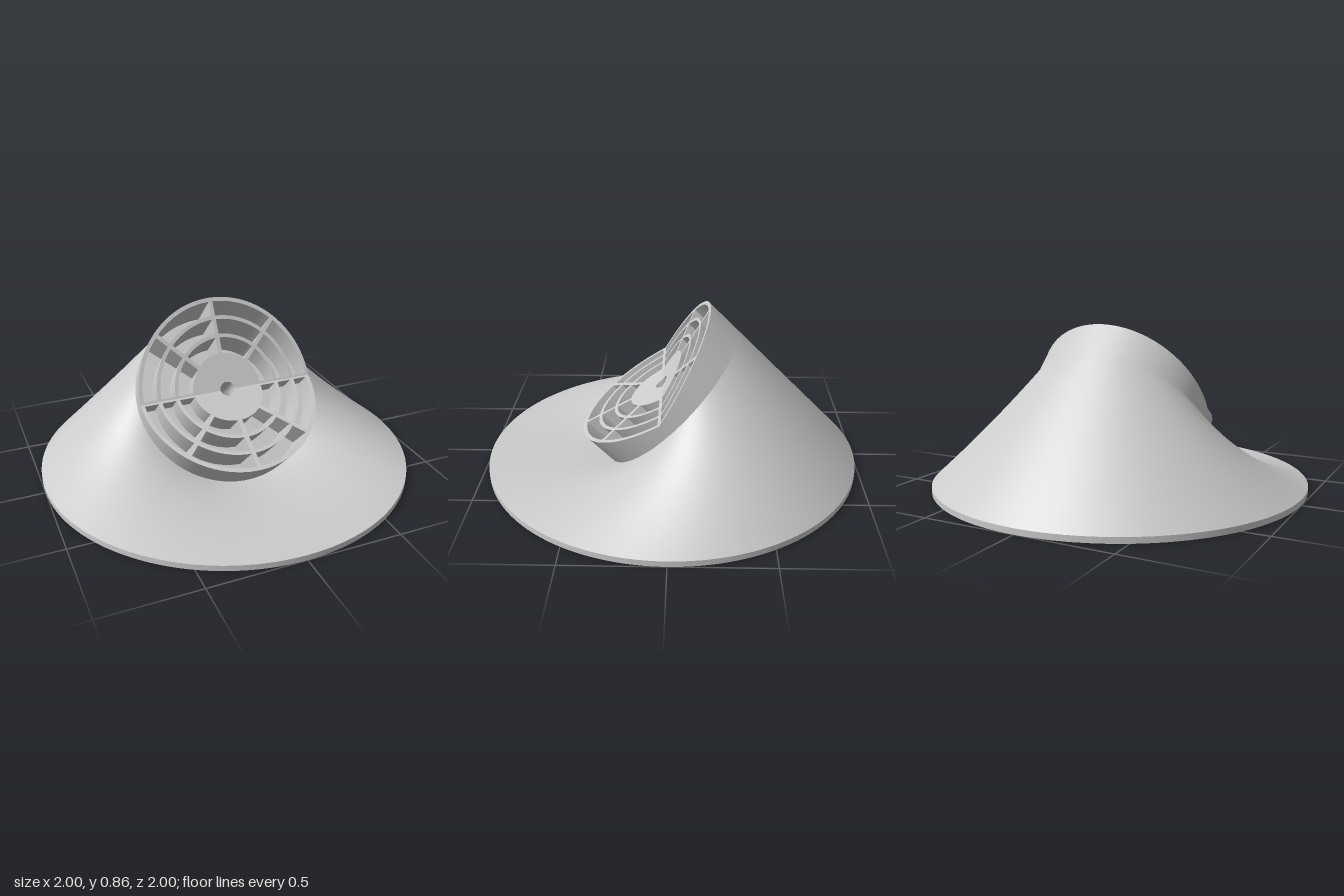
import * as THREE from 'three';
import { toCreasedNormals } from 'three/addons/utils/BufferGeometryUtils.js';
import { ParametricGeometry } from 'three/addons/geometries/ParametricGeometry.js';

const R = 0.483;                         // outer radius of the tilted head
const DEPTH = 0.1;                       // depth of the slots below the fold
const FOLD = Math.tan(Math.PI / 12);     // each half of the face rises by 15 degrees
const TILT = Math.PI / 4;
const CENTRE = new THREE.Vector3(0, 0.43, 0.05);
const BASE_Y = 0.03;
const BORE = 0.065;
const SEG = 128;

const grey = new THREE.MeshStandardMaterial({ color: 0xcccccc, side: THREE.DoubleSide });

function part(name, geometry) {
  const mesh = new THREE.Mesh(geometry, grey);
  mesh.name = name;
  return mesh;
}

// Apply a rule to every vertex height, then keep the edges sharp
function reshape(geometry, rule) {
  const p = geometry.attributes.position;
  for (let i = 0; i < p.count; i++) p.setY(i, rule(p.getY(i), p.getZ(i)));
  return toCreasedNormals(geometry, 0.4);
}

// Everything at height 0 is lifted onto the folded face
const foldTop = (y, z) => (y > -1e-6 ? Math.abs(z) * FOLD : y);

// Ring wall with a folded top edge
function ring(inner, outer) {
  const profile = [[outer, -DEPTH], [outer, 0], [inner, 0], [inner, -DEPTH]]
    .map(([x, y]) => new THREE.Vector2(x, y));
  return reshape(new THREE.LatheGeometry(profile, SEG), foldTop);
}

// Radial web with a folded top edge
function spoke(angle, from, to) {
  const g = new THREE.BoxGeometry(to - from, DEPTH, 0.022, 1, 1, 2);
  g.translate((from + to) / 2, -DEPTH / 2, 0);
  g.rotateY(angle);
  return reshape(g, foldTop);
}

export function createModel() {
  const model = new THREE.Group();
  model.name = 'tiltedGrilleStand';

  // Round base: thin rim and underside with the slanted cable exit
  const rim = new THREE.CylinderGeometry(1, 1, BASE_Y, SEG, 1, true);
  rim.translate(0, BASE_Y / 2, 0);
  model.add(part('baseRim', rim));

  const disc = new THREE.Shape().absarc(0, 0, 1, 0, Math.PI * 2);
  const exit = new THREE.Path();
  exit.absellipse(0, CENTRE.z - CENTRE.y, BORE, BORE * Math.SQRT2, 0, Math.PI * 2, true);
  disc.holes.push(exit);
  const underside = new THREE.ShapeGeometry(disc, SEG / 2);
  underside.rotateX(Math.PI / 2);
  model.add(part('baseUnderside', underside));

  // Body: straight loft from the base circle to the tilted head circle
  const s = Math.SQRT1_2;
  const body = new ParametricGeometry((u, v, target) => {
    const a = u * Math.PI * 2;
    const c = Math.cos(a), n = Math.sin(a);
    const low = new THREE.Vector3(c, BASE_Y, -n);
    const high = new THREE.Vector3(R * c, CENTRE.y - 0.05 + R * s * n, CENTRE.z - 0.05 - R * s * n);
    target.lerpVectors(low, high, v);
  }, SEG, 24);
  model.add(part('body', body));

  // Head: concentric walls and webs, tilted 45 degrees
  const head = new THREE.Group();
  head.name = 'head';
  head.position.copy(CENTRE);
  head.rotation.x = TILT;
  model.add(head);

  head.add(part('headRim', ring(0.462, R)));
  head.add(part('outerRing', ring(0.368, 0.387)));
  head.add(part('innerRing', ring(0.272, 0.291)));
  head.add(part('hub', ring(0.04, 0.19)));

  for (let i = 0; i < 8; i++) {
    head.add(part('spoke', spoke(i * Math.PI / 4, 0.185, 0.468)));
  }

  const floor = new THREE.RingGeometry(0.18, 0.47, SEG);
  floor.rotateX(-Math.PI / 2);
  floor.translate(0, -DEPTH, 0);
  head.add(part('slotFloor', floor));

  // Cable bore from the hub down to the underside, its end cut level with the ground
  const boreProfile = [[0.04, -DEPTH], [BORE, -DEPTH], [BORE, -1]]
    .map(([x, y]) => new THREE.Vector2(x, y));
  const bore = reshape(new THREE.LatheGeometry(boreProfile, 64),
    (y, z) => (y < -0.9 ? z - CENTRE.y * Math.SQRT2 : y));
  head.add(part('cableBore', bore));

  return model;
}
